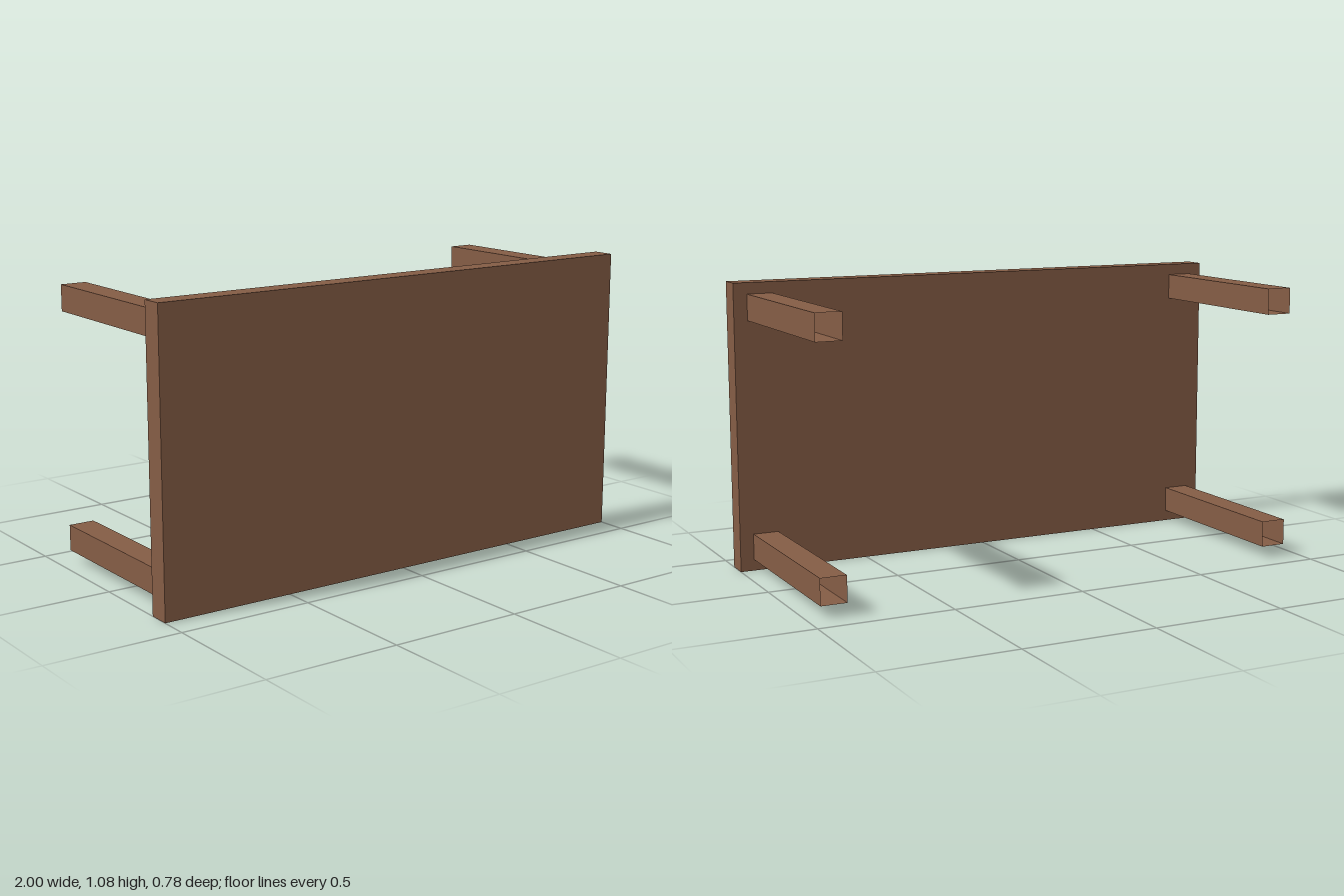
import * as THREE from 'three';

const WIDTH = 2, HEIGHT = 1.075, THICK = 0.083, DEPTH = 0.784;
const LEG = 0.097, INSET = 0.042;

// Square tube with both ends open, running along z
function openTube(size, length) {
  const geometry = new THREE.BoxGeometry(size, size, length);
  geometry.setIndex(Array.from(geometry.index.array).slice(0, 24)); // keep the four sides
  geometry.clearGroups();
  return geometry;
}

export function createModel() {
  const model = new THREE.Group();
  model.name = 'table';

  const wood = new THREE.MeshStandardMaterial({ color: 0x845c45, side: THREE.DoubleSide });
  wood.name = 'brown wood';

  // Table top, standing on its long edge
  const top = new THREE.Mesh(new THREE.BoxGeometry(WIDTH, HEIGHT, THICK), wood);
  top.name = 'tableTop';
  top.position.set(0, HEIGHT / 2, DEPTH / 2 - THICK / 2);
  model.add(top);

  // Four hollow legs pointing backwards
  const legLength = DEPTH - THICK;
  const legGeometry = openTube(LEG, legLength);
  for (const [side, x] of [['left', 0.9], ['right', -0.9]]) {
    for (const [level, y] of [['Lower', INSET + LEG / 2], ['Upper', HEIGHT - INSET - LEG / 2]]) {
      const leg = new THREE.Mesh(legGeometry, wood);
      leg.name = `${side}${level}Leg`;
      leg.position.set(x, y, -DEPTH / 2 + legLength / 2);
      model.add(leg);
    }
  }
  return model;
}
